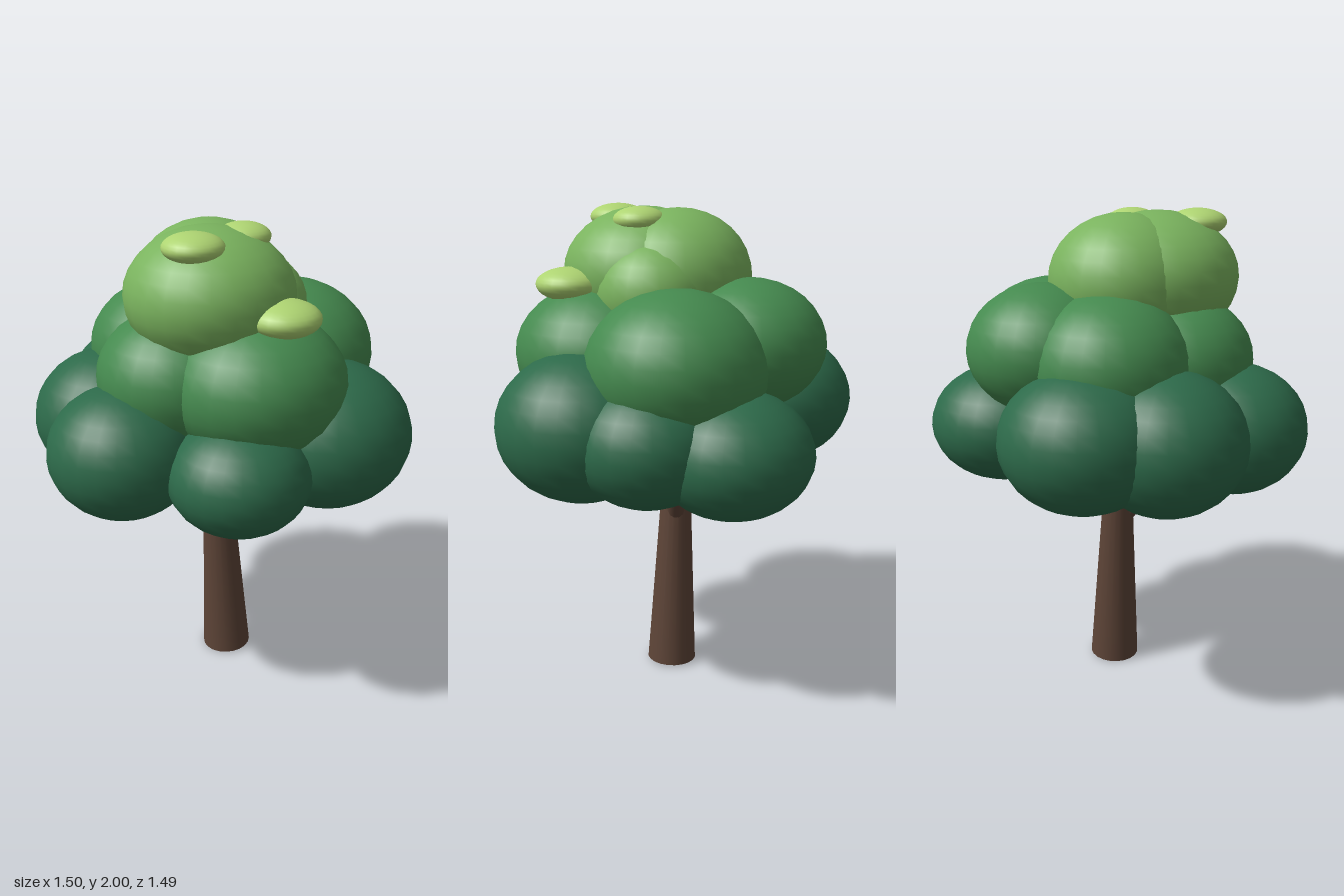
import * as THREE from 'three';

const material = (name, color) => {
  const m = new THREE.MeshStandardMaterial({ color });
  m.name = name;
  return m;
};

export function createModel() {
  const tree = new THREE.Group();
  tree.name = 'tree';

  const bark = material('bark brown', 0x5d4437);
  const dark = material('dark leaf green', 0x2d6a4a);
  const mid = material('mid leaf green', 0x458a4f);
  const light = material('light leaf green', 0x7ab35e);
  const pale = material('pale leaf green', 0xaed472);

  // Tapered limb between two points
  const limb = (name, from, to, r0, r1, sides) => {
    const a = new THREE.Vector3(...from), b = new THREE.Vector3(...to);
    const dir = b.clone().sub(a);
    const mesh = new THREE.Mesh(new THREE.CylinderGeometry(r1, r0, dir.length(), sides), bark);
    mesh.position.copy(a).add(b).multiplyScalar(0.5);
    mesh.quaternion.setFromUnitVectors(new THREE.Vector3(0, 1, 0), dir.normalize());
    mesh.name = name;
    tree.add(mesh);
  };
  limb('trunk', [0.033, 0.006, -0.006], [-0.022, 1.15, -0.025], 0.107, 0.045, 20);
  limb('leftBranch', [0.01, 0.67, -0.02], [0.25, 1.06, -0.07], 0.04, 0.032, 12);
  limb('rightBranch', [-0.01, 0.68, 0.0], [-0.25, 1.05, 0.13], 0.04, 0.032, 12);

  // Foliage clumps: x, y, z, horizontal radius, vertical radius
  const sphere = new THREE.SphereGeometry(1, 24, 16);
  const layer = (name, mat, clumps) => {
    const group = new THREE.Group();
    group.name = name;
    clumps.forEach(([x, y, z, r, ry], i) => {
      const mesh = new THREE.Mesh(sphere, mat);
      mesh.position.set(x, y, z);
      mesh.scale.set(r, ry, r);
      mesh.name = `${name}Clump${i + 1}`;
      group.add(mesh);
    });
    tree.add(group);
  };

  layer('lowerFoliage', dark, [
    [-0.06, 1.11, 0.46, 0.28, 0.225],
    [0.36, 1.17, 0.29, 0.345, 0.3],
    [0.45, 1.14, 0.01, 0.3, 0.25],
    [0.4, 1.1, -0.31, 0.315, 0.25],
    [-0.24, 1.18, -0.415, 0.33, 0.28],
    [-0.435, 1.16, -0.165, 0.32, 0.285],
    [-0.455, 1.15, 0.2, 0.3, 0.265],
  ]);
  layer('middleFoliage', mid, [
    [0.06, 1.41, 0.28, 0.36, 0.29],
    [0.32, 1.41, -0.08, 0.36, 0.3],
    [0.09, 1.47, -0.33, 0.31, 0.26],
    [-0.17, 1.43, -0.22, 0.325, 0.28],
    [-0.215, 1.41, 0.11, 0.315, 0.27],
  ]);
  layer('upperFoliage', light, [
    [-0.08, 1.73, 0.13, 0.335, 0.264],
    [-0.04, 1.72, -0.02, 0.305, 0.27],
    [0.09, 1.66, 0.05, 0.245, 0.22],
  ]);
  layer('sunlitTuft', pale, [
    [-0.178, 1.945, 0.262, 0.118, 0.055],
    [0.056, 1.945, 0.12, 0.106, 0.053],
    [0.13, 1.695, 0.39, 0.14, 0.068],
  ]);

  return tree;
}
